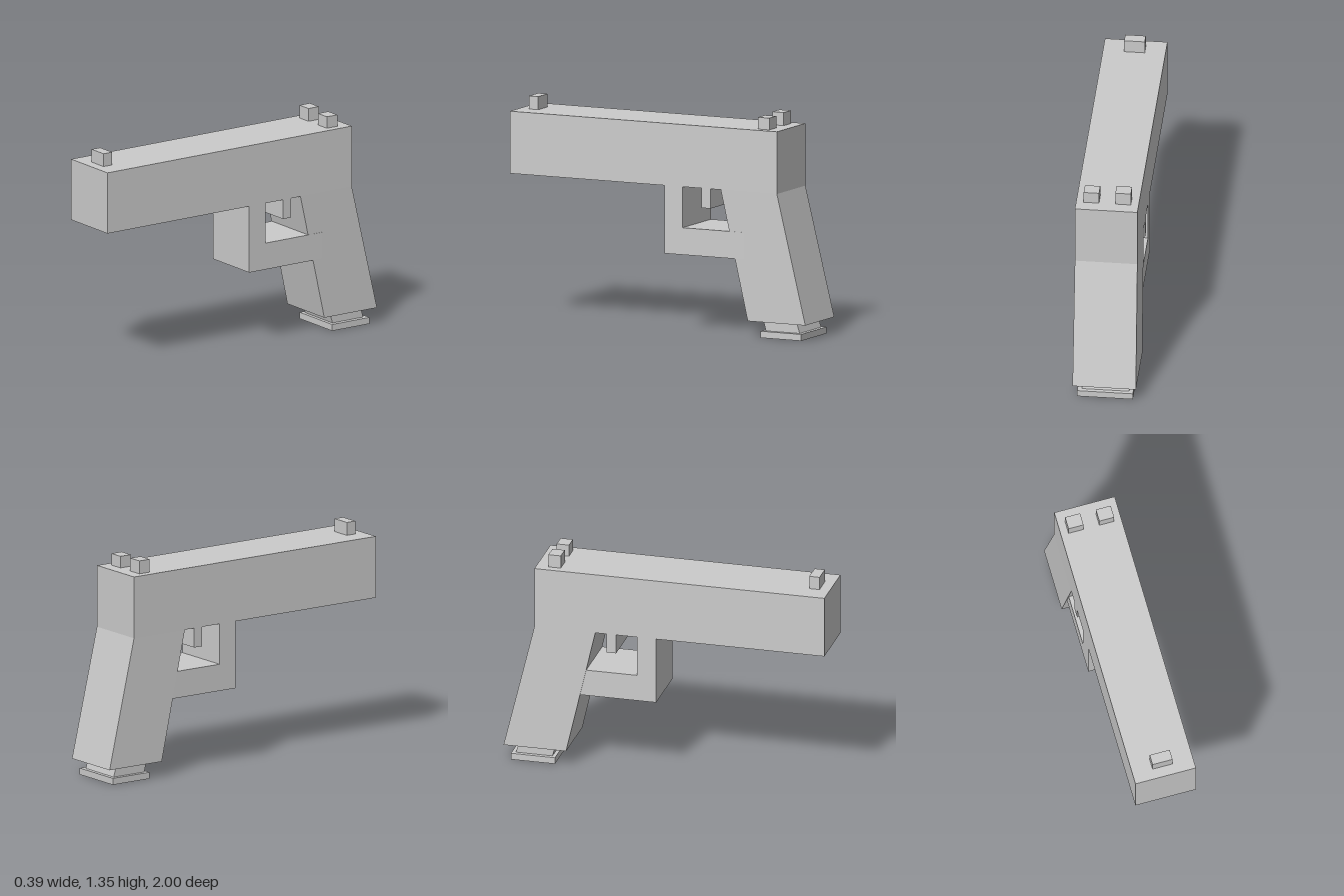
import * as THREE from 'three';

const material = new THREE.MeshStandardMaterial({ color: 0xcccccc, flatShading: true });

// Block between two levels; bottom and top are [x0, x1, z0, z1] rectangles.
function block(name, y0, y1, bottom, top = bottom) {
  const geometry = new THREE.BoxGeometry(1, 1, 1);
  const p = geometry.attributes.position;
  for (let i = 0; i < p.count; i++) {
    const isTop = p.getY(i) > 0;
    const r = isTop ? top : bottom;
    p.setXYZ(i, p.getX(i) > 0 ? r[1] : r[0], isTop ? y1 : y0, p.getZ(i) > 0 ? r[3] : r[2]);
  }
  geometry.computeVertexNormals();
  const mesh = new THREE.Mesh(geometry, material);
  mesh.name = name;
  return mesh;
}

export function createModel() {
  const group = new THREE.Group();
  group.name = 'pistol';
  const L = -0.187, R = 0.192; // side faces of the body

  group.add(
    // Long upper body
    block('slide', 0.89, 1.27, [L, R, -0.81, 1]),

    // Raked grip, leaning very slightly to one side
    block('grip', 0.1, 0.89, [-0.197, 0.187, -1, -0.61], [L, R, -0.81, -0.43]),

    // Trigger guard: front post and lower bar that runs into the grip
    block('guardPost', 0.64, 0.89, [L, R, -0.17, -0.05]),
    block('guardBar', 0.475, 0.64, [L, R, -0.59, -0.05]),
    block('trigger', 0.77, 0.89, [L, R, -0.36, -0.3]),

    // Magazine stub and its base plate
    block('magazine', 0.04, 0.1, [-0.15, 0.135, -0.935, -0.707], [-0.15, 0.135, -0.917, -0.69]),
    block('magazineBase', 0, 0.04, [-0.175, 0.163, -0.96, -0.685]),

    // Sights
    block('frontSight', 1.27, 1.35, [-0.062, 0.063, 0.873, 0.937]),
    block('rearSightRight', 1.27, 1.35, [-0.14, -0.046, -0.735, -0.658]),
    block('rearSightLeft', 1.27, 1.342, [0.053, 0.146, -0.735, -0.658])
  );
  return group;
}
